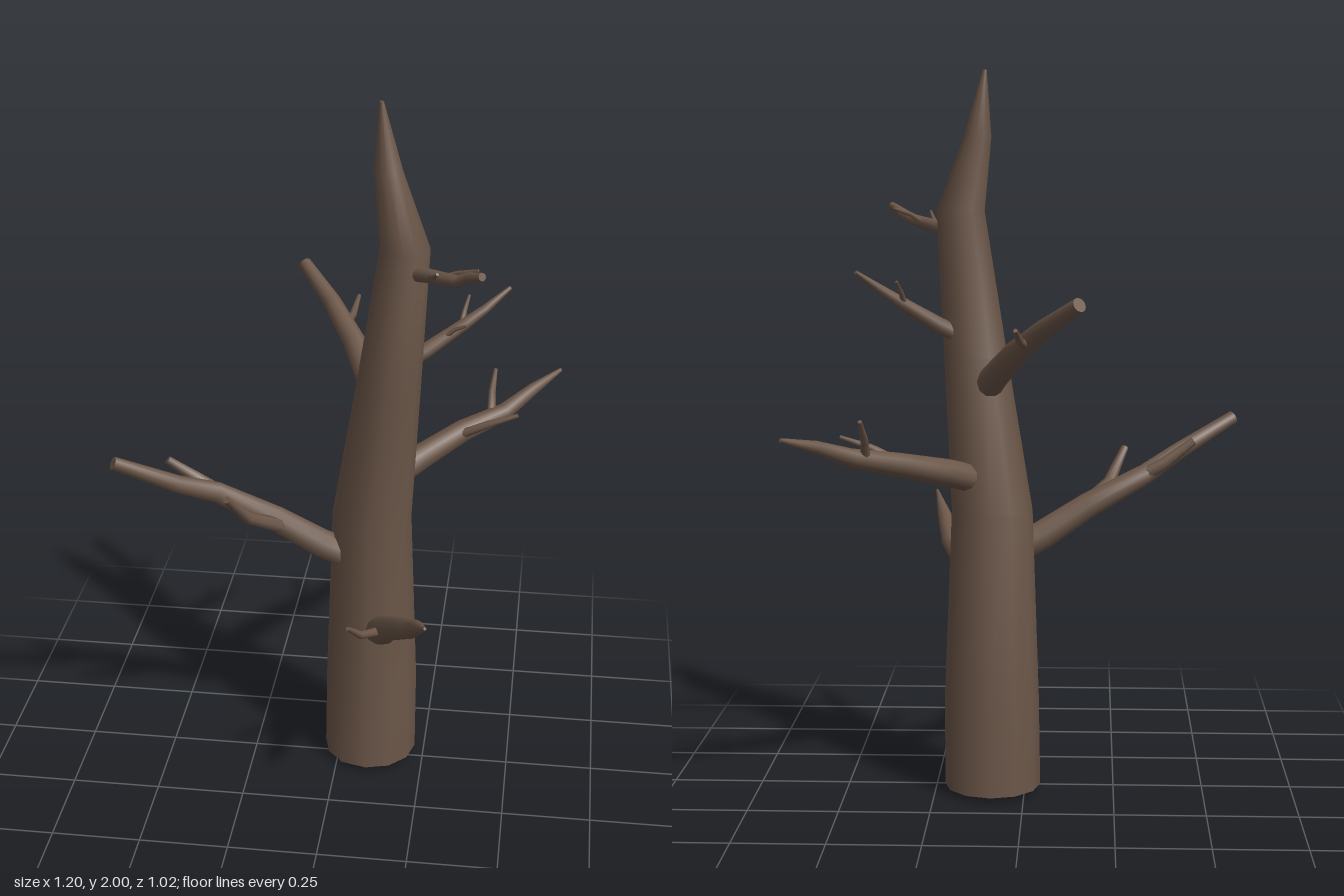
import * as THREE from 'three';

const bark = new THREE.MeshStandardMaterial({ color: 0x6b5648, roughness: 0.9 });

// Tapered limb: rings along a path of [x, y, z, radius] with flat end caps.
function limb(name, path, sides, level = false) {
  const pts = path.map(p => new THREE.Vector3(p[0], p[1], p[2]));
  const up = new THREE.Vector3(0, 1, 0);
  const pos = [], idx = [];
  const rings = pts.map((c, i) => {
    const dir = level ? up.clone()
      : pts[Math.min(i + 1, pts.length - 1)].clone().sub(pts[Math.max(i - 1, 0)]).normalize();
    const q = new THREE.Quaternion().setFromUnitVectors(up, dir);
    return Array.from({ length: sides }, (_, k) => {
      const a = (k / sides) * Math.PI * 2, r = path[i][3];
      return new THREE.Vector3(Math.sin(a) * r, 0, Math.cos(a) * r).applyQuaternion(q).add(c);
    });
  });
  rings.forEach(r => r.forEach(v => pos.push(v.x, v.y, v.z)));
  for (let i = 0; i < rings.length - 1; i++) {
    for (let k = 0; k < sides; k++) {
      const a = i * sides + k, b = i * sides + (k + 1) % sides;
      idx.push(a, b, b + sides, a, b + sides, a + sides);
    }
  }
  // caps use their own vertices so the rim stays sharp
  [0, rings.length - 1].forEach((ri, end) => {
    const s = pos.length / 3;
    rings[ri].forEach(v => pos.push(v.x, v.y, v.z));
    for (let k = 1; k < sides - 1; k++) {
      if (end) idx.push(s, s + k, s + k + 1);
      else idx.push(s, s + k + 1, s + k);
    }
  });
  const g = new THREE.BufferGeometry();
  g.setAttribute('position', new THREE.Float32BufferAttribute(pos, 3));
  g.setIndex(idx);
  g.computeVertexNormals();
  const mesh = new THREE.Mesh(g, bark);
  mesh.name = name;
  return mesh;
}

// A branch together with the twigs that grow from it.
function branch(name, path, twigs) {
  const group = new THREE.Group();
  group.name = name;
  group.add(limb(name + 'Stem', path, 10));
  twigs.forEach((t, i) => group.add(limb(name + 'Twig' + (i + 1), t, 7)));
  return group;
}

export function createModel() {
  const tree = new THREE.Group();
  tree.name = 'bareTree';

  // leaning trunk, tapering to a point
  tree.add(limb('trunk', [
    [0.09, 0.015, -0.035, 0.134], [0.092, 0.27, -0.035, 0.132], [0.09, 0.8, -0.028, 0.112],
    [0.138, 1.22, 0.037, 0.088], [0.178, 1.62, 0.035, 0.066],
    [0.13, 1.82, 0.018, 0.038], [0.11, 2.0, 0.015, 0.006],
  ], 12, true));

  // small root stub under the base
  tree.add(limb('rootStub', [
    [0.075, 0.014, -0.03, 0.014], [0.05, 0.013, 0.02, 0.012], [0.015, 0.01, 0.065, 0.008],
  ], 7));

  tree.add(branch('lowerRightBranch', [
    [0.04, 0.675, 0.0, 0.045], [-0.05, 0.72, 0.02, 0.042], [-0.175, 0.8, 0.04, 0.037],
    [-0.335, 0.885, 0.065, 0.03], [-0.43, 0.94, 0.135, 0.025], [-0.59, 1.03, 0.208, 0.019],
  ], [
    [[-0.27, 0.85, 0.06, 0.022], [-0.39, 0.92, 0.056, 0.018], [-0.47, 0.98, 0.07, 0.012]],
    [[-0.16, 0.79, 0.06, 0.022], [-0.235, 0.85, 0.14, 0.018], [-0.28, 0.94, 0.21, 0.011]],
  ]));

  tree.add(branch('frontBranch', [
    [0.115, 0.46, 0.04, 0.044], [0.14, 0.505, 0.12, 0.041], [0.165, 0.57, 0.21, 0.036],
    [0.232, 0.64, 0.32, 0.028], [0.257, 0.7, 0.41, 0.021], [0.287, 0.76, 0.51, 0.004],
  ], [
    [[0.15, 0.55, 0.19, 0.014], [0.092, 0.575, 0.265, 0.011], [0.065, 0.63, 0.325, 0.006]],
  ]));

  tree.add(branch('backLeftBranch', [
    [0.12, 0.885, -0.05, 0.04], [0.205, 0.92, -0.14, 0.038], [0.325, 0.96, -0.26, 0.033],
    [0.44, 0.99, -0.34, 0.026], [0.52, 1.03, -0.425, 0.018], [0.597, 1.06, -0.507, 0.006],
  ], [
    [[0.32, 0.96, -0.235, 0.014], [0.4, 1.0, -0.228, 0.011], [0.484, 1.03, -0.235, 0.006]],
    [[0.405, 0.985, -0.32, 0.014], [0.402, 1.04, -0.365, 0.011], [0.408, 1.095, -0.41, 0.006]],
  ]));

  tree.add(branch('backBranch', [
    [0.11, 1.13, -0.01, 0.04], [0.08, 1.175, -0.08, 0.038], [0.02, 1.25, -0.19, 0.033],
    [-0.06, 1.325, -0.305, 0.026], [-0.152, 1.395, -0.41, 0.02],
  ], [
    [[-0.015, 1.275, -0.24, 0.014], [0.002, 1.29, -0.3, 0.011], [0.012, 1.325, -0.36, 0.006]],
  ]));

  tree.add(branch('upperLeftBranch', [
    [0.16, 1.27, 0.01, 0.025], [0.235, 1.31, -0.02, 0.022], [0.335, 1.375, -0.065, 0.017],
    [0.385, 1.41, -0.085, 0.013], [0.45, 1.46, -0.127, 0.006],
  ], [
    [[0.325, 1.37, -0.06, 0.009], [0.33, 1.4, -0.09, 0.007], [0.34, 1.435, -0.122, 0.004]],
    [[0.27, 1.335, -0.035, 0.008], [0.31, 1.37, -0.03, 0.006], [0.34, 1.385, -0.022, 0.004]],
  ]));

  tree.add(branch('upperFrontBranch', [
    [0.185, 1.555, 0.05, 0.022], [0.23, 1.57, 0.095, 0.02], [0.325, 1.592, 0.19, 0.016],
    [0.355, 1.61, 0.205, 0.014], [0.39, 1.63, 0.25, 0.011],
  ], [
    [[0.28, 1.58, 0.14, 0.009], [0.325, 1.605, 0.165, 0.007], [0.377, 1.622, 0.185, 0.004]],
    [[0.25, 1.575, 0.12, 0.009], [0.262, 1.59, 0.165, 0.007], [0.275, 1.615, 0.207, 0.004]],
  ]));

  return tree;
}
